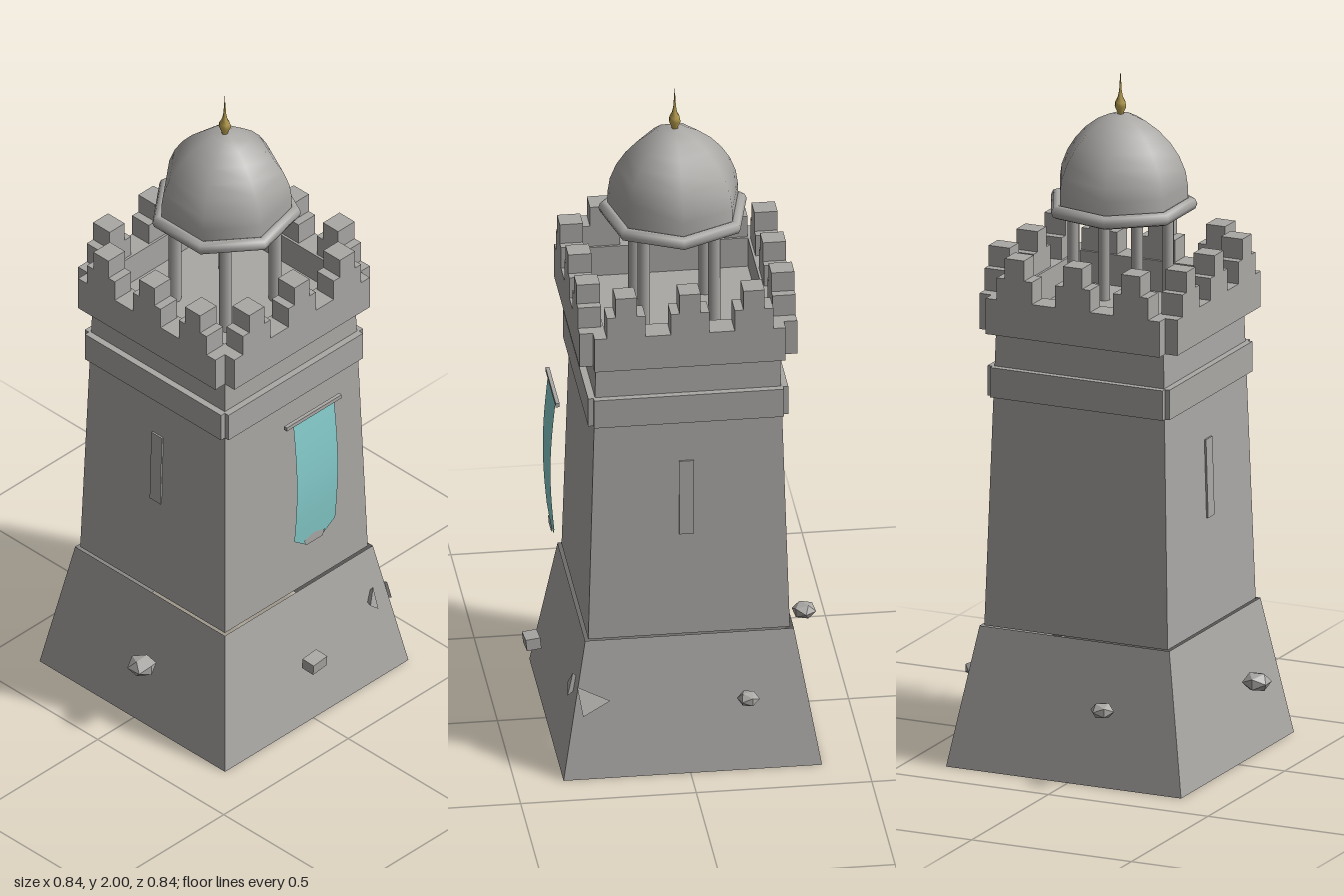
import * as THREE from 'three';
import { ConvexGeometry } from 'three/addons/geometries/ConvexGeometry.js';

export function createModel() {
  const model = new THREE.Group();
  const stone = new THREE.MeshStandardMaterial({ color: 0xaaa8a5, side: THREE.DoubleSide });
  const gold = new THREE.MeshStandardMaterial({ color: 0xb39a4c });
  const teal = new THREE.MeshStandardMaterial({ color: 0x86cccc, side: THREE.DoubleSide });
  stone.name = 'stone';
  gold.name = 'gold';
  teal.name = 'teal cloth';

  const add = (parent, name, geo, mat, x = 0, y = 0, z = 0) => {
    const m = new THREE.Mesh(geo, mat);
    m.name = name;
    m.position.set(x, y, z);
    parent.add(m);
    return m;
  };
  const box = (parent, name, w, h, d, x, y, z) =>
    add(parent, name, new THREE.BoxGeometry(w, h, d), stone, x, y, z);
  const flat = (geo) => {
    const g = geo.toNonIndexed();
    g.computeVertexNormals();
    return g;
  };
  // Open square frustum given by half widths and heights
  const frustum = (bottom, top, y0, y1) => flat(
    new THREE.CylinderGeometry(top * Math.SQRT2, bottom * Math.SQRT2, y1 - y0, 4, 1, true, Math.PI / 4)
      .translate(0, (y0 + y1) / 2, 0));
  const lathe = (points, sides) => new THREE.LatheGeometry(
    points.map(([r, y]) => new THREE.Vector2(r, y)), sides, Math.PI / 2);

  const tower = new THREE.Group();
  tower.name = 'tower';
  tower.position.set(0.013, 0, -0.006);
  model.add(tower);

  // Battered base and tapering shaft, both hollow
  add(tower, 'base', frustum(0.368, 0.297, 0, 0.405), stone);
  add(tower, 'shaft', frustum(0.287, 0.262, 0.405, 1.275), stone);

  // Each side carries a band, a parapet wall and three stepped merlons
  for (let i = 0; i < 4; i++) {
    const side = new THREE.Group();
    side.name = 'towerSide';
    side.rotation.y = i * Math.PI / 2;
    tower.add(side);
    box(side, 'band', 0.54, 0.088, 0.036, 0, 1.121, 0.267);
    box(side, 'parapet', 0.544, 0.105, 0.073, 0, 1.3225, 0.2735);
    for (const x of [-0.182, 0, 0.182]) {
      box(side, 'merlonStep', 0.11, 0.065, 0.066, x, 1.4075, 0.277);
      box(side, 'merlonTop', 0.06, 0.06, 0.066, x, 1.47, 0.277);
    }
  }
  box(tower, 'roofFloor', 0.476, 0.012, 0.476, 0, 1.278, 0);

  // Arrow slits on both flanks, leaning with the wall
  for (const s of [-1, 1]) {
    const slit = box(tower, 'arrowSlit', 0.012, 0.23, 0.042, s * 0.274, 0.835, 0.006);
    slit.rotation.z = s * 0.029;
  }

  // Open lantern with four columns under a seven-sided dome
  for (const x of [-0.1, 0.1]) for (const z of [-0.1, 0.1])
    add(tower, 'column', new THREE.CylinderGeometry(0.018, 0.018, 0.33, 8), stone, x, 1.445, z + 0.004);
  const rim = add(tower, 'domeRim', new THREE.TorusGeometry(0.197, 0.02, 8, 7), stone, 0, 1.605, 0.003);
  rim.rotation.x = Math.PI / 2;
  add(tower, 'dome', lathe([
    [0.19, 1.6], [0.19, 1.66], [0.184, 1.7], [0.166, 1.745], [0.14, 1.785],
    [0.108, 1.82], [0.072, 1.848], [0.035, 1.866], [0, 1.872],
  ], 7), stone, 0, 0, 0.003);
  add(tower, 'finial', lathe([
    [0.009, 1.86], [0.01, 1.876], [0.018, 1.892], [0.016, 1.905], [0.008, 1.92], [0.004, 1.94], [0, 2],
  ], 6), gold, 0, 0, 0.003);

  // Hanging banner, billowing forward and tapered at its foot
  const rod = new THREE.BoxGeometry(0.22, 0.012, 0.011);
  add(model, 'bannerRod', rod, stone, 0.015, 1.065, 0.345);
  const cloth = new THREE.PlaneGeometry(0.164, 0.45, 2, 12);
  const p = cloth.attributes.position;
  for (let i = 0; i < p.count; i++) {
    const t = p.getY(i) / 0.45 + 0.5;
    if (t < 0.01) p.setX(i, p.getX(i) * 0.4);
    p.setZ(i, 0.015 * Math.sin(Math.PI * t));
  }
  cloth.computeVertexNormals();
  add(model, 'banner', cloth, teal, 0.016, 0.84, 0.347);
  const tip = new THREE.Shape([[-0.032, -0.014], [0.032, -0.014], [0.042, 0.005], [0, 0.016], [-0.042, 0.005]]
    .map(([x, y]) => new THREE.Vector2(x, y)));
  add(model, 'bannerTip', new THREE.ShapeGeometry(tip), stone, 0.014, 0.63, 0.352);

  // Loose stones around the base
  const rocks = [[-0.115, -0.388, 0.036], [0.39, -0.163, 0.033], [-0.384, 0.06, 0.043]];
  rocks.forEach(([x, z, r], i) => {
    const rock = add(model, 'rock', new THREE.IcosahedronGeometry(r, 0), stone, x, 0.232, z);
    rock.scale.y = 0.68;
    rock.rotation.y = 0.6 + i * 1.3;
  });
  const block = box(model, 'stoneBlock', 0.058, 0.034, 0.042, -0.032, 0.234, 0.398);
  block.rotation.set(0.1, 0.06, 0.03);

  // Shards jutting from the base near its front left corner
  const shard = (pts) => add(model, 'shard',
    new ConvexGeometry(pts.map((v) => new THREE.Vector3(...v))), stone);
  shard([[0.34, 0.275, 0.318], [0.35, 0.23, 0.225], [0.372, 0.195, 0.305], [0.3, 0.23, 0.28]]);
  shard([[0.28, 0.29, 0.322], [0.255, 0.245, 0.336], [0.285, 0.22, 0.338], [0.27, 0.25, 0.29]]);

  return model;
}
